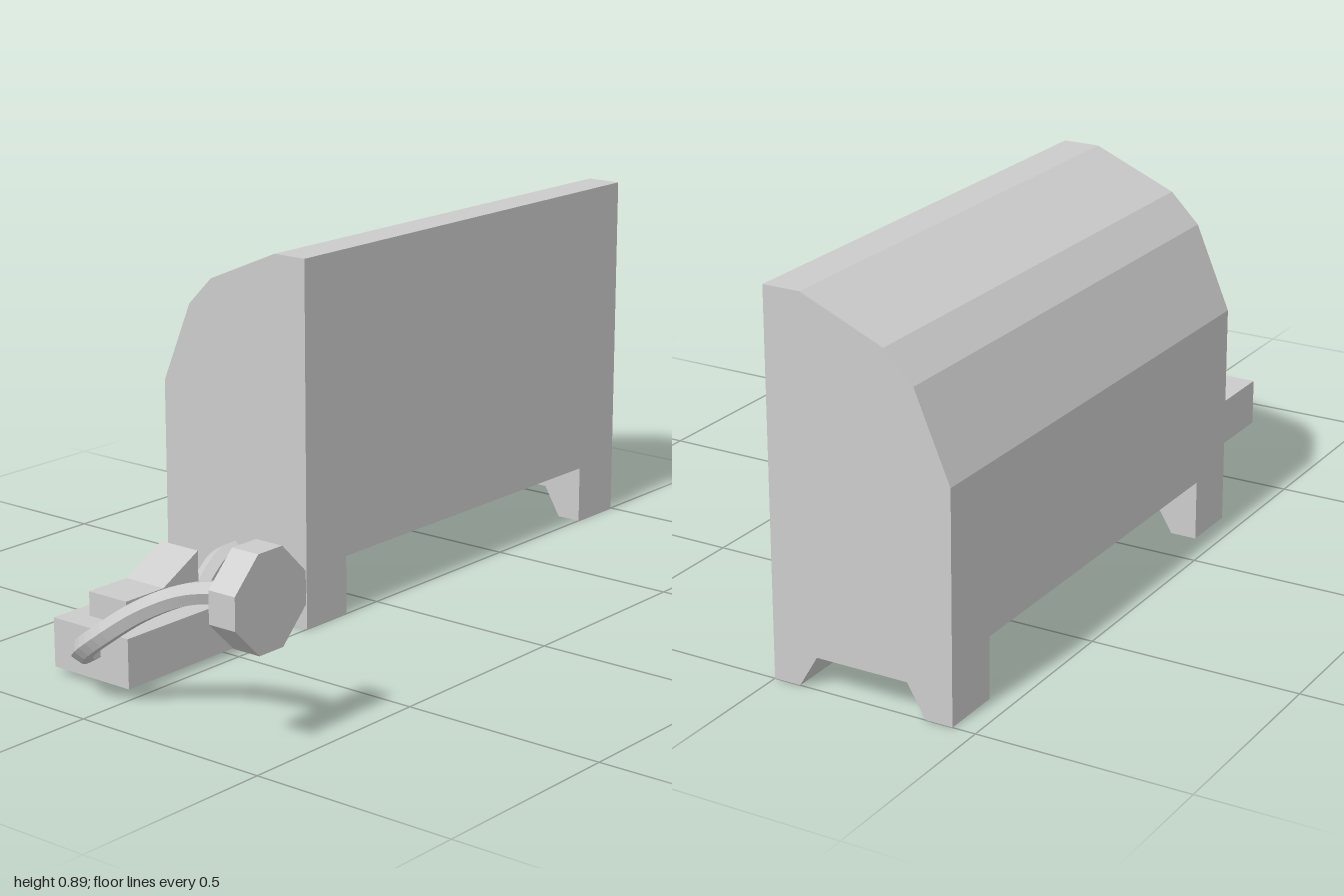
import * as THREE from 'three';

const material = new THREE.MeshStandardMaterial({ color: 0xcccccc, flatShading: true });

function add(parent, name, geometry) {
  const mesh = new THREE.Mesh(geometry, material);
  mesh.name = name;
  parent.add(mesh);
  return mesh;
}

function prism(points, depth) {
  const shape = new THREE.Shape(points.map(([x, y]) => new THREE.Vector2(x, y)));
  return new THREE.ExtrudeGeometry(shape, { depth, bevelEnabled: false });
}

// Side profile (distance behind the front, height) extruded from x0 to x1
function sideProfile(points, x0, x1) {
  return prism(points, x1 - x0).rotateY(Math.PI / 2).translate(x0, 0, 0);
}

// Six-sided cable through the given points
function cable(points) {
  const curve = new THREE.CatmullRomCurve3(points.map((p) => new THREE.Vector3(...p)));
  return new THREE.TubeGeometry(curve, 28, 0.027, 6, false);
}

export function createModel() {
  const model = new THREE.Group();
  model.name = 'cabinetWithCord';

  // Cabinet with a faceted sloping back
  const cabinet = new THREE.Group();
  cabinet.name = 'cabinet';
  model.add(cabinet);
  add(cabinet, 'body', sideProfile([
    [0, 0.145], [0.445, 0.145], [0.445, 0.535], [0.36, 0.735],
    [0.29, 0.805], [0.09, 0.89], [0, 0.89],
  ], -0.26, 1));

  // Foot at each end, arched between front and back
  const foot = [
    [0, 0], [0.065, 0], [0.11, 0.076], [0.335, 0.076],
    [0.38, 0], [0.445, 0], [0.445, 0.145], [0, 0.145],
  ];
  add(cabinet, 'rightFoot', sideProfile(foot, -0.26, -0.115));
  add(cabinet, 'leftFoot', sideProfile(foot, 0.85, 1));

  // Inline switch box and its rocker
  add(model, 'switchBox', new THREE.BoxGeometry(0.353, 0.117, 0.23))
    .position.set(-0.662, 0.0735, -0.135);
  add(model, 'rocker', prism([
    [-0.78, 0.12], [-0.545, 0.12], [-0.545, 0.25], [-0.66, 0.19], [-0.78, 0.19],
  ], 0.115)).position.z = -0.195;

  // Cable from cabinet to switch, and from switch to plug
  add(model, 'cabinetCable', cable([
    [-0.52, 0.085, -0.155], [-0.47, 0.091, -0.167], [-0.38, 0.122, -0.203],
    [-0.31, 0.144, -0.223], [-0.24, 0.148, -0.226],
  ]));
  add(model, 'plugCable', cable([
    [-0.81, 0.08, -0.142], [-0.87, 0.09, -0.115], [-0.93, 0.125, -0.065],
    [-0.946, 0.172, 0], [-0.918, 0.245, 0.1], [-0.89, 0.295, 0.2],
    [-0.882, 0.32, 0.3], [-0.882, 0.325, 0.39],
  ]));

  // Eight-sided plug with wide corners
  const r = 0.11, h = 0.037;
  add(model, 'plug', prism([
    [r, -h], [r, h], [h, r], [-h, r], [-r, h], [-r, -h], [-h, -r], [h, -r],
  ], 0.072)).position.set(-0.89, 0.335, 0.373);

  return model;
}
